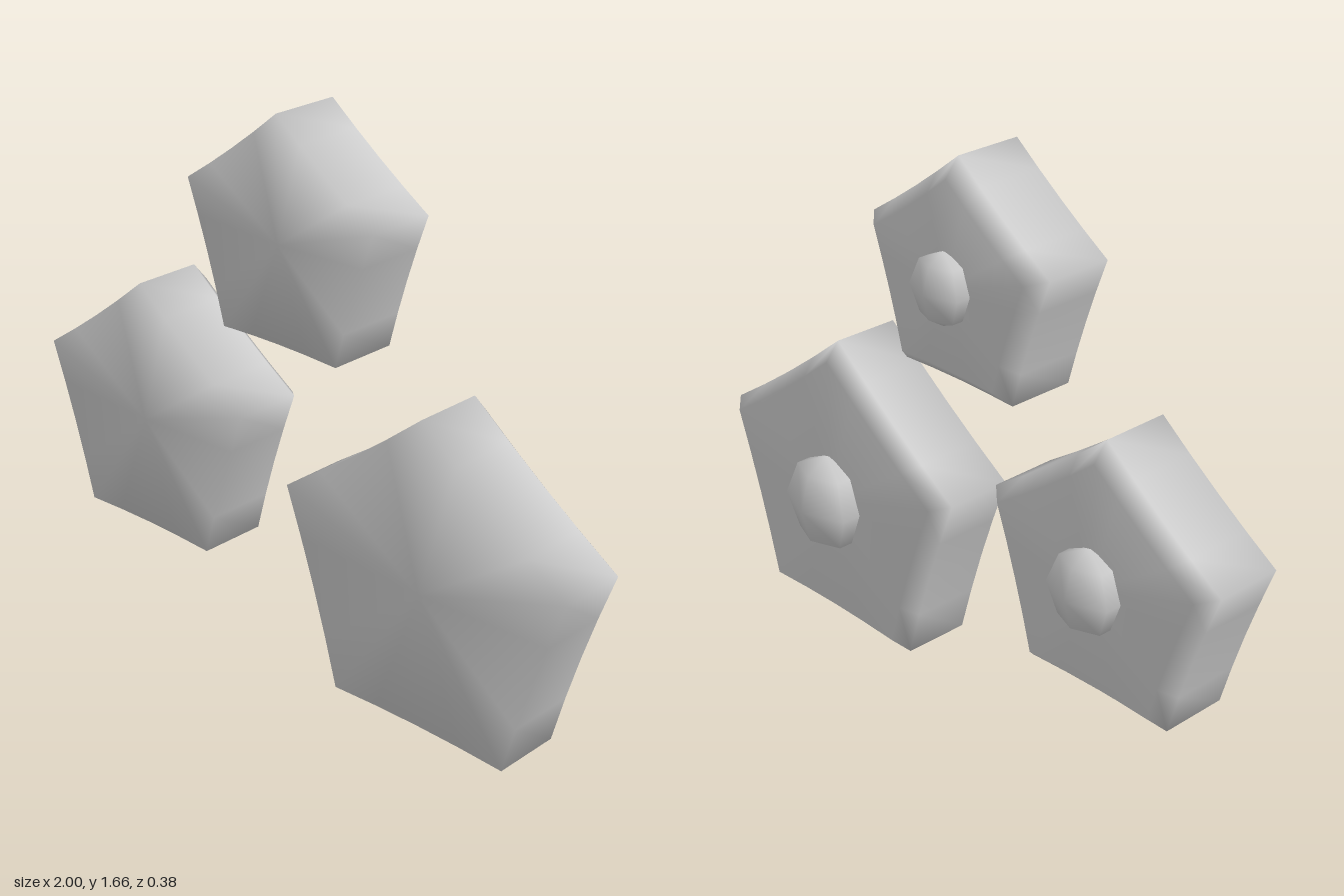
import * as THREE from 'three';

const FRONT = 0.188, SHOULDER = -0.027, BACK = -0.074, INSET = 0.056;
const PER_SIDE = 4; // points along each slightly hollow side

// Five-sided outline, counter-clockwise from the top corner
function outline(radius) {
  const pts = [];
  for (let s = 0; s < 5; s++) {
    const a = Math.PI / 2 + s * Math.PI * 0.4, b = a + Math.PI * 0.4;
    for (let k = 0; k < PER_SIDE; k++) {
      const t = k / PER_SIDE;
      const hollow = 1 - 0.08 * t * (1 - t);
      pts.push([
        radius * hollow * (Math.cos(a) * (1 - t) + Math.cos(b) * t),
        radius * hollow * (Math.sin(a) * (1 - t) + Math.sin(b) * t),
      ]);
    }
  }
  return pts;
}

// Smooth-shaded slab with flat front and bevelled back edge
function slabGeometry(radius) {
  const pts = outline(radius), n = pts.length;
  const rings = [[FRONT, 1], [SHOULDER, 1], [BACK, 1 - INSET / radius]];
  const pos = [], index = [];
  for (const [z, s] of rings) for (const [x, y] of pts) pos.push(x * s, y * s, z);
  const front = rings.length * n, back = front + 1, last = (rings.length - 1) * n;
  pos.push(0, 0, FRONT, 0, 0, BACK);
  for (let i = 0; i < n; i++) {
    const j = (i + 1) % n;
    index.push(front, i, j, back, last + j, last + i);
    for (let r = 0; r < rings.length - 1; r++) {
      const f = r * n, b = f + n;
      index.push(f + i, b + i, f + j, b + i, b + j, f + j);
    }
  }
  const geo = new THREE.BufferGeometry();
  geo.setAttribute('position', new THREE.Float32BufferAttribute(pos, 3));
  geo.setIndex(index);
  geo.computeVertexNormals();
  return geo;
}

export function createModel() {
  const grey = new THREE.MeshStandardMaterial({ color: 0xcccccc });
  grey.name = 'light grey';
  const model = new THREE.Group();
  model.name = 'pentagonStuds';

  const studs = [
    ['largeStud', 0.5, 0.425, 0.52],
    ['mediumStud', -0.588, 0.599, 0.434],
    ['smallStud', -0.022, 1.295, 0.365],
  ];
  for (const [name, x, y, radius] of studs) {
    const stud = new THREE.Group();
    stud.name = name;
    stud.position.set(x, y, 0);

    const slab = new THREE.Mesh(slabGeometry(radius), grey);
    slab.name = 'pentagonSlab';

    // Flattened low-poly knob on the back
    const knobGeo = new THREE.SphereGeometry(radius * 0.3, 6, 4);
    knobGeo.rotateY(Math.PI / 2);
    knobGeo.scale(1, 1, 0.67);
    const knob = new THREE.Mesh(knobGeo, grey);
    knob.name = 'backKnob';
    knob.position.z = -0.084;

    stud.add(slab, knob);
    model.add(stud);
  }
  return model;
}
